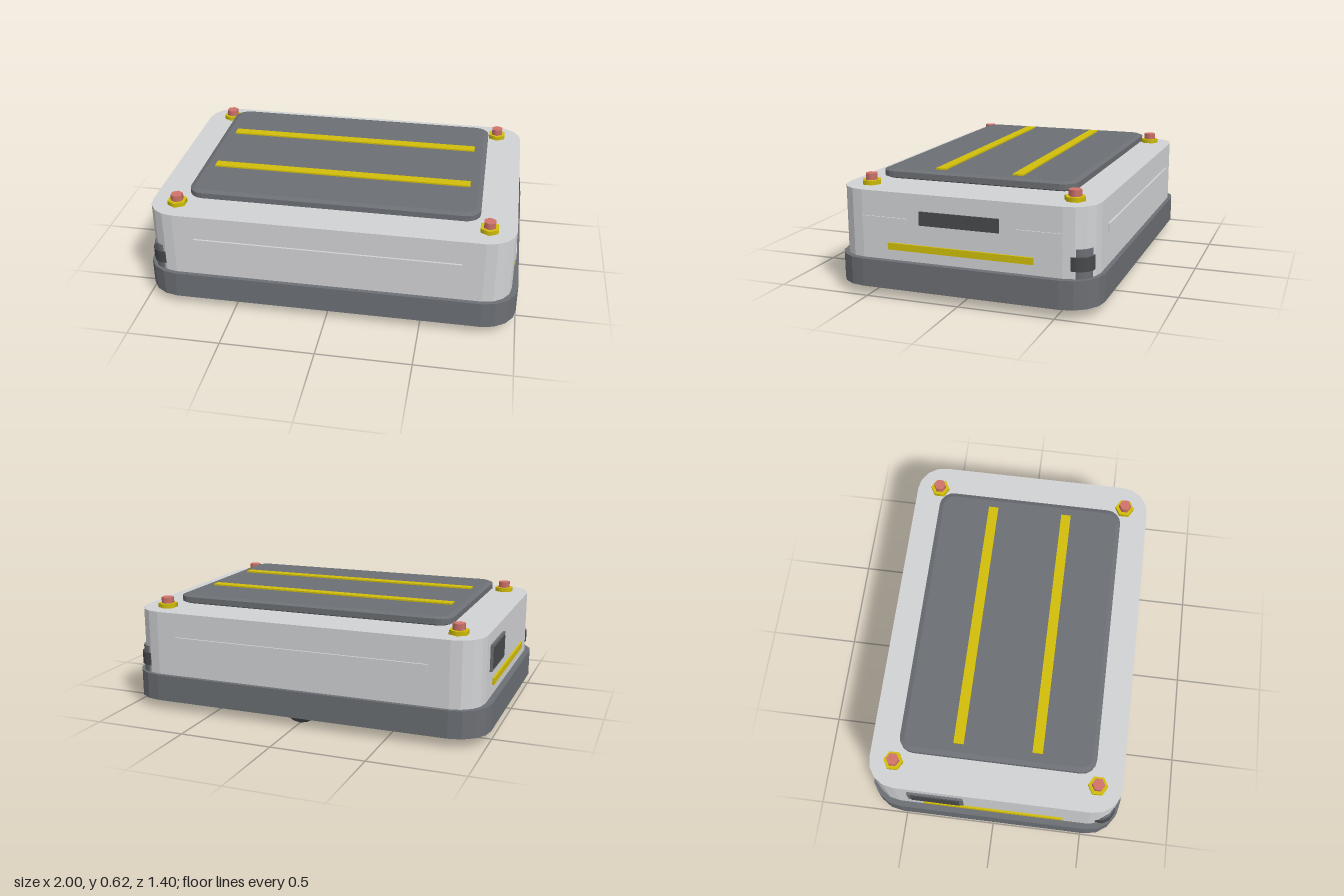
import * as THREE from 'three';

const mat = (name, color) => {
  const m = new THREE.MeshStandardMaterial({ color });
  m.name = name;
  return m;
};

export function createModel() {
  const shell = mat('light grey shell', 0xd2d3d5);
  const grey = mat('slate grey', 0x6c6f74);
  const dark = mat('dark panel', 0x484a4d);
  const rubber = mat('black rubber', 0x303236);
  const yellow = mat('safety yellow', 0xd2bf0a);
  const red = mat('muted red', 0xd0736b);

  const root = new THREE.Group();
  root.name = 'mobileRobot';

  const add = (name, geo, material, x, y, z) => {
    const m = new THREE.Mesh(geo, material);
    m.name = name;
    m.position.set(x, y, z);
    root.add(m);
    return m;
  };
  const box = (name, material, w, h, d, x, y, z) =>
    add(name, new THREE.BoxGeometry(w, h, d), material, x, y, z);
  const cyl = (name, material, r, h, sides, x, y, z) =>
    add(name, new THREE.CylinderGeometry(r, r, h, sides).toNonIndexed(), material, x, y, z);

  // Rounded rectangle slab lying flat, bottom at y
  const slab = (name, material, hx, hz, r, y, h, bevel = 0, bevelH = 0) => {
    const a = hx - bevel, b = hz - bevel;
    const s = new THREE.Shape();
    [[1, 1, 0], [-1, 1, 1], [-1, -1, 2], [1, -1, 3]].forEach(([sx, sy, q]) => {
      s.absarc(sx * (a - r), sy * (b - r), r, q * Math.PI / 2, (q + 1) * Math.PI / 2, false);
    });
    const geo = new THREE.ExtrudeGeometry(s, {
      depth: h - 2 * bevelH, curveSegments: 2, bevelEnabled: bevel > 0,
      bevelSize: bevel, bevelThickness: bevelH, bevelSegments: 1,
    });
    geo.rotateX(-Math.PI / 2);
    return add(name, geo, material, 0, y + bevelH, 0);
  };

  // Chassis, body and cargo deck
  slab('base', grey, 1, 0.7, 0.18, 0.05, 0.145);
  slab('body', shell, 0.967, 0.677, 0.15, 0.195, 0.35);
  slab('deck', grey, 0.775, 0.525, 0.055, 0.565, 0.05, 0.025, 0.01);

  for (const s of [1, -1]) {
    // Deck stripes, long side trims and end light bars
    box('deckStripe', yellow, 1.41, 0.009, 0.055, 0, 0.6185, s * 0.21);
    box('sideTrim', shell, 1.41, 0.042, 0.02, 0, 0.392, s * 0.677);
    box('lightBar', yellow, 0.02, 0.035, 0.77, s * 0.967, 0.267, 0);
    // Pads on the +x end
    box('endPad', shell, 0.014, 0.046, 0.24, 0.966, 0.392, s * 0.405);

    // Corner scanners on one diagonal
    const x = s * 0.885, z = -s * 0.588;
    const housing = cyl('scannerHousing', grey, 0.07, 0.145, 12, x, 0.2675, z);
    const band = cyl('scannerWindow', dark, 0.079, 0.07, 12, x, 0.268, z);
    housing.rotation.y = band.rotation.y = Math.PI / 12;

    // Drive wheels
    cyl('driveWheel', rubber, 0.106, 0.09, 16, 0, 0.106, s * 0.58).rotation.x = Math.PI / 2;

    for (const t of [1, -1]) {
      // Casters, deck posts and corner beacons
      cyl('caster', rubber, 0.043, 0.05, 12, t * 0.7, 0.043, s * 0.475).rotation.x = Math.PI / 2;
      cyl('deckPost', shell, 0.04, 0.022, 12, t * 0.438, 0.555, s * 0.265);
      cyl('beaconBase', yellow, 0.053, 0.023, 6, t * 0.825, 0.5565, s * 0.545);
      cyl('beacon', red, 0.034, 0.034, 6, t * 0.825, 0.584, s * 0.545);
    }
  }

  // End panels
  box('ventPanel', dark, 0.02, 0.07, 0.42, 0.967, 0.424, 0);
  box('screenFrame', grey, 0.024, 0.14, 0.3, -0.967, 0.41, -0.31);
  box('screen', dark, 0.008, 0.11, 0.26, -0.98, 0.41, -0.31);

  return root;
}
